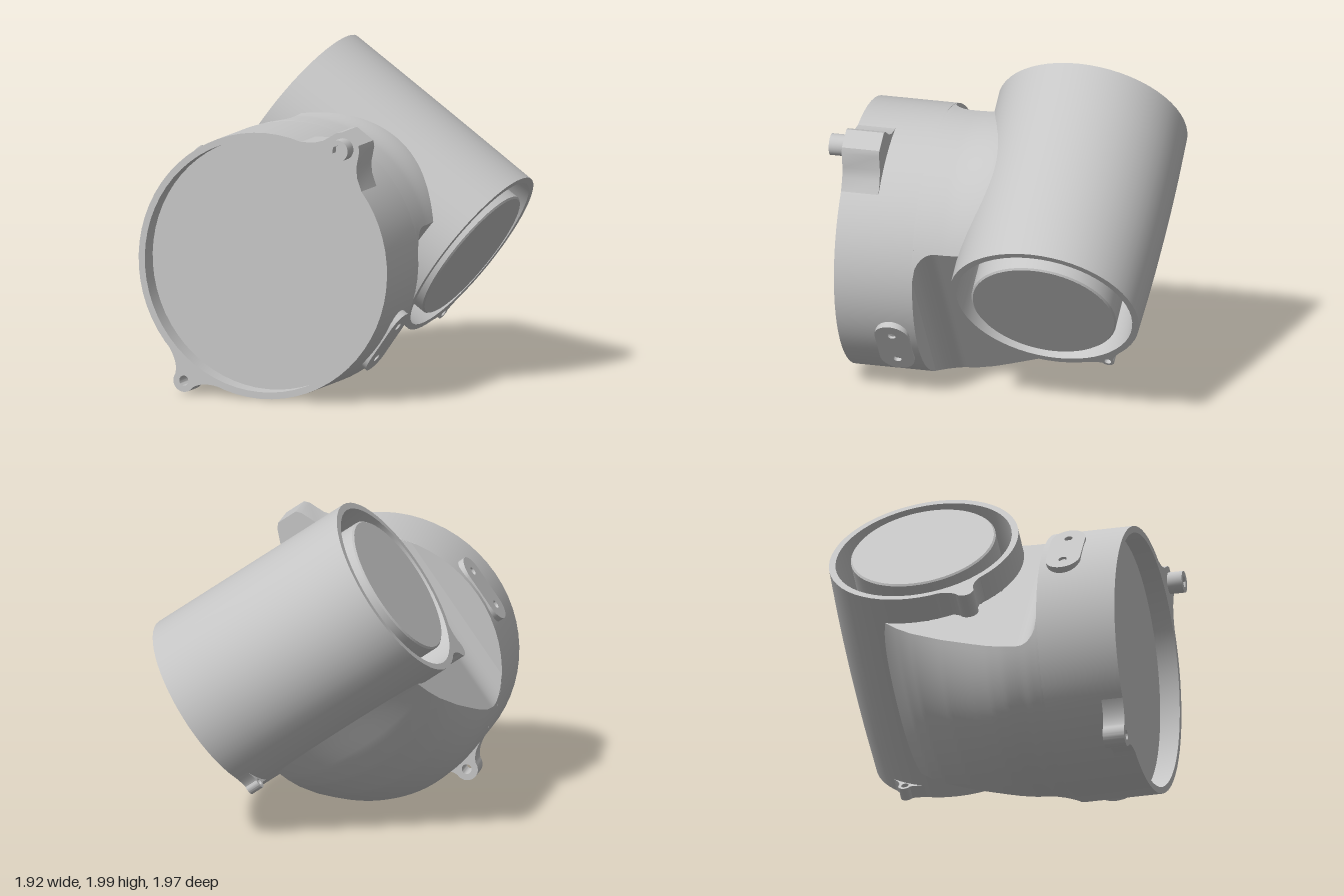
import * as THREE from 'three';
import { toCreasedNormals } from 'three/addons/utils/BufferGeometryUtils.js';

const BODY_R = 0.8, TUBE_R = 0.575, TUBE_HALF = 0.685, TUBE_V = 0.4, TUBE_Z = -0.39;

export function createModel() {
  const grey = new THREE.MeshStandardMaterial({ color: 0xc6c6c6 });
  grey.name = 'casting grey';
  const model = new THREE.Group();
  model.name = 'elbowHousing';

  // Everything is built upright (tube along x), then tilted as one.
  const body = new THREE.Group();
  body.name = 'tiltedBody';
  body.position.set(-0.16, 0.81, 0);
  body.rotation.z = -0.6142;
  model.add(body);

  const add = (name, geometry, parent = body) => {
    const mesh = new THREE.Mesh(toCreasedNormals(geometry, 0.6), grey);
    mesh.name = name;
    parent.add(mesh);
    return mesh;
  };
  const lathe = (pts, n) => new THREE.LatheGeometry(pts.map(p => new THREE.Vector2(...p)), n);
  const hole = (shape, x, y, r) => shape.holes.push(new THREE.Path().absarc(x, y, r, 0, Math.PI * 2, true));
  const extrude = (shape, depth) => new THREE.ExtrudeGeometry(shape, { depth, bevelEnabled: false, curveSegments: 14 });

  // Round flange with a recessed cover
  add('flange', lathe([[0, 0.42], [BODY_R, 0.42], [BODY_R, 0.9], [0.76, 0.9], [0.76, 0.78], [0, 0.78]], 64)
    .rotateX(Math.PI / 2));

  // Cross tube with a hub in each open end
  const end = [[TUBE_R, 0.4], [TUBE_R, TUBE_HALF], [0.535, TUBE_HALF], [0.525, 0.3], [0.44, 0.3], [0.44, 0.695], [0.43, 0.705], [0, 0.705]];
  const start = end.map(([r, y]) => [r, -y]).reverse();
  const tube = lathe([...start, [TUBE_R, -0.2], [TUBE_R, 0], [TUBE_R, 0.2], ...end], 56).rotateZ(-Math.PI / 2);
  const tp = tube.attributes.position;
  for (let i = 0; i < tp.count; i++) {
    // slight swell on the rear of the tube
    const u = tp.getX(i) / TUBE_HALF, r = Math.hypot(tp.getY(i), tp.getZ(i));
    if (r > 0.57 && tp.getZ(i) < 0) tp.setZ(i, tp.getZ(i) * (1 + 0.03 * Math.max(0, 1 - u * u)));
  }
  add('crossTube', tube.translate(0, TUBE_V, TUBE_Z));

  add('neck', neckGeometry());

  // Lug that grows out of a circle of radius R, pointing up
  function lugShape(R, d, r, flare, holeR) {
    const s = new THREE.Shape(), yb = Math.sqrt(R * R - flare * flare) - 0.004;
    s.moveTo(flare, yb);
    s.quadraticCurveTo(r + 0.03, R, r, d);
    s.absarc(0, d, r, 0, Math.PI, false);
    s.quadraticCurveTo(-r - 0.03, R, -flare, yb);
    s.lineTo(0, R - 0.02);
    if (holeR) hole(s, 0, d, holeR);
    return s;
  }
  add('holeLug', extrude(lugShape(BODY_R, 0.882, 0.068, 0.25, 0.03), 0.13).rotateZ(Math.PI).translate(0, 0, 0.77));

  // Block-like lug under the screw
  const flank = [[0.25, 0.755], [0.17, 0.812], [0.13, 0.86], [0.09, 0.95], [0.065, 0.976]];
  const block = new THREE.Shape([...flank, ...flank.map(([x, y]) => [-x, y]).reverse(), [0, 0.78]]
    .map(p => new THREE.Vector2(...p)));
  add('boltLug', extrude(block, 0.23).translate(0, 0, 0.67));

  // Socket screw
  const head = new THREE.Shape().absarc(0, 0, 0.065, 0, Math.PI * 2, false);
  const hex = new THREE.Path();
  for (let i = 0; i <= 6; i++) {
    const a = -i * Math.PI / 3, x = 0.036 * Math.cos(a), y = 0.036 * Math.sin(a);
    if (i) hex.lineTo(x, y); else hex.moveTo(x, y);
  }
  head.holes.push(hex);
  const screw = new THREE.Group();
  screw.name = 'socketScrew';
  screw.position.set(0, 0.9, 0.89);
  body.add(screw);
  add('screwHead', extrude(head, 0.1), screw);
  add('socketFloor', new THREE.CircleGeometry(0.045, 12).translate(0, 0, 0.05), screw);

  // Two-hole mounting pads on the flange
  const pad = new THREE.Shape();
  pad.moveTo(0.105, -0.11);
  pad.lineTo(0.105, 0.11);
  pad.absarc(0, 0.11, 0.105, 0, Math.PI, false);
  pad.lineTo(-0.105, -0.11);
  pad.absarc(0, -0.11, 0.105, Math.PI, Math.PI * 2, false);
  for (const y of [-0.12, 0.12]) hole(pad, 0, y, 0.025);
  // Tabs on the tube rims: a drilled one on the left, a plain stop on the right
  const tabs = [
    ['left', lugShape(TUBE_R, 0.603, 0.04, 0.2, 0.022), 0.08],
    ['right', lugShape(TUBE_R, 0.645, 0.055, 0.16, 0), 0.15],
  ];
  tabs.forEach(([label, shape, depth], side) => {
    const padMesh = add(label + 'Pad', extrude(pad, 0.11).rotateY(Math.PI / 2).translate(0.7, 0, 0));
    padMesh.position.z = 0.565;
    padMesh.rotation.y = side * Math.PI;
    const tab = add(label + 'RimTab', extrude(shape, depth)
      .rotateZ(Math.PI + 0.54).rotateY(Math.PI / 2).translate(TUBE_HALF - depth, 0, 0));
    tab.position.set(0, TUBE_V, TUBE_Z);
    tab.rotation.y = side * Math.PI;
  });
  return model;
}

// Neck: circle with flat sides, its domed underside sweeping up to the tube
function neckGeometry() {
  const SEG = 32, N = SEG * 4, ROWS = 64, Z0 = 0.425, Z1 = -0.72;
  const under = [[0.43, 1], [0.35, 0.998], [0.2, 0.96], [0.1, 0.91], [0, 0.84], [-0.2, 0.69], [-0.4, 0.5], [-0.5, 0.37], [-0.6, 0.2], [-0.72, 0]];
  const underScale = z => {
    const i = Math.max(1, under.findIndex(p => p[0] <= z + 1e-6));
    const [a, b] = [under[i - 1], under[i]];
    return THREE.MathUtils.lerp(a[1], b[1], (a[0] - z) / (a[0] - b[0]));
  };
  const pos = [], index = [];
  for (let j = 0; j <= ROWS; j++) {
    const z = Z0 + (Z1 - Z0) * j / ROWS;
    // concave fillet from the flange into the flat sides
    const k = Math.max(0, 1 - (Z0 - z) / 0.14);
    const w = 0.52 + 0.14 * (1 - Math.sqrt(1 - k * k));
    const top = z > -0.1 ? 1 + 0.03 * THREE.MathUtils.smoothstep(0.25 - z, 0, 0.25) : 0.85;
    const bottom = underScale(z);
    const dome = 0.06 * Math.sin(Math.PI * THREE.MathUtils.clamp((0.3 - z) / 0.95, 0, 1));
    // corner angles where the flats meet the round top and underside
    const c = Math.acos(w / BODY_R), corners = [-c, c, Math.PI - c, Math.PI + c, Math.PI * 2 - c];
    for (let i = 0; i < N; i++) {
      const s = Math.floor(i / SEG);
      const a = THREE.MathUtils.lerp(corners[s], corners[s + 1], (i % SEG) / SEG);
      let u = THREE.MathUtils.clamp(BODY_R * Math.cos(a), -w, w);
      const up = Math.sin(a) > 0;
      const v = BODY_R * Math.sin(a) * (up ? top : bottom) - (up ? 0 : dome * (1 - (u / w) ** 2));
      // keep clear of the hollow tube ends
      if (Math.hypot(v - TUBE_V, z - TUBE_Z) < 0.55) u = THREE.MathUtils.clamp(u, -0.28, 0.28);
      pos.push(u, v, z);
      if (j < ROWS) {
        const p = j * N + i, q = j * N + (i + 1) % N;
        index.push(p, p + N, q, q, p + N, q + N);
      }
    }
  }
  const g = new THREE.BufferGeometry();
  g.setAttribute('position', new THREE.Float32BufferAttribute(pos, 3));
  g.setIndex(index);
  return g;
}
